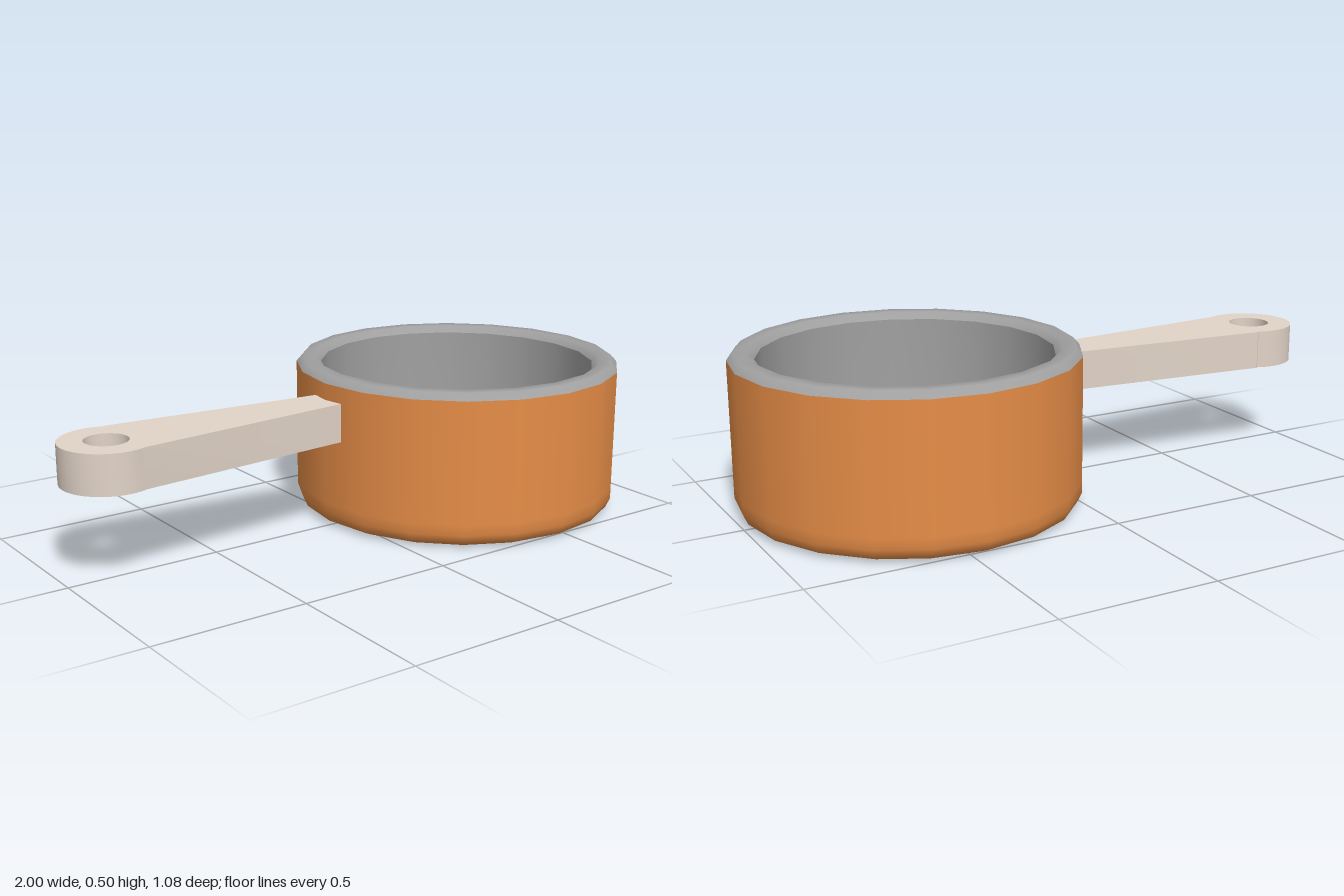
import * as THREE from 'three';
import { toCreasedNormals } from 'three/addons/utils/BufferGeometryUtils.js';

const SIDES = 20;
const PAN_X = 0.457;

function material(name, color) {
  const m = new THREE.MeshStandardMaterial({ color });
  m.name = name;
  return m;
}

// Surface of revolution from [radius, height] pairs
function lathe(name, profile, mat) {
  const points = profile.map(([r, y]) => new THREE.Vector2(r, y));
  const mesh = new THREE.Mesh(new THREE.LatheGeometry(points, SIDES), mat);
  mesh.name = name;
  return mesh;
}

export function createModel() {
  const copper = material('copper', 0xe68d47);
  const steel = material('steel', 0xa0a0a0);
  const handleMat = material('pale handle', 0xe2d4c8);

  const model = new THREE.Group();
  model.name = 'saucepan';

  // Round pan: copper outside, steel rim and lining
  const pan = new THREE.Group();
  pan.name = 'pan';
  pan.position.x = PAN_X;
  pan.add(
    lathe('base', [[0, 0], [0.495, 0]], copper),
    lathe('outerWall', [[0.495, 0], [0.528, 0.015], [0.542, 0.045], [0.542, 0.08], [0.542, 0.48]], copper),
    lathe('rim', [[0.542, 0.48], [0.522, 0.502], [0.48, 0.502], [0.459, 0.48]], steel),
    lathe('lining', [[0.459, 0.48], [0.457, 0.13], [0.447, 0.09], [0.42, 0.07], [0.37, 0.065], [0, 0.065]], steel)
  );
  model.add(pan);

  // Tapered handle with a round end and a hanging hole
  const cx = -0.855;
  const radius = 0.145;
  const start = 1.15;
  const outline = new THREE.Shape();
  outline.moveTo(-0.05, -0.068);
  outline.lineTo(-0.05, 0.068);
  outline.lineTo(-0.79, 0.137);
  outline.absarc(cx, 0, radius, start, Math.PI * 2 - start, false);
  outline.closePath();
  const hole = new THREE.Path();
  hole.absarc(cx, 0, 0.068, 0, Math.PI * 2, true);
  outline.holes.push(hole);

  const solid = new THREE.ExtrudeGeometry(outline, {
    depth: 0.126,
    bevelEnabled: false,
    curveSegments: 10
  });
  solid.rotateX(-Math.PI / 2);
  solid.translate(0, 0.3, 0);
  const handle = new THREE.Mesh(toCreasedNormals(solid, 0.7), handleMat);
  handle.name = 'handle';
  model.add(handle);

  return model;
}
